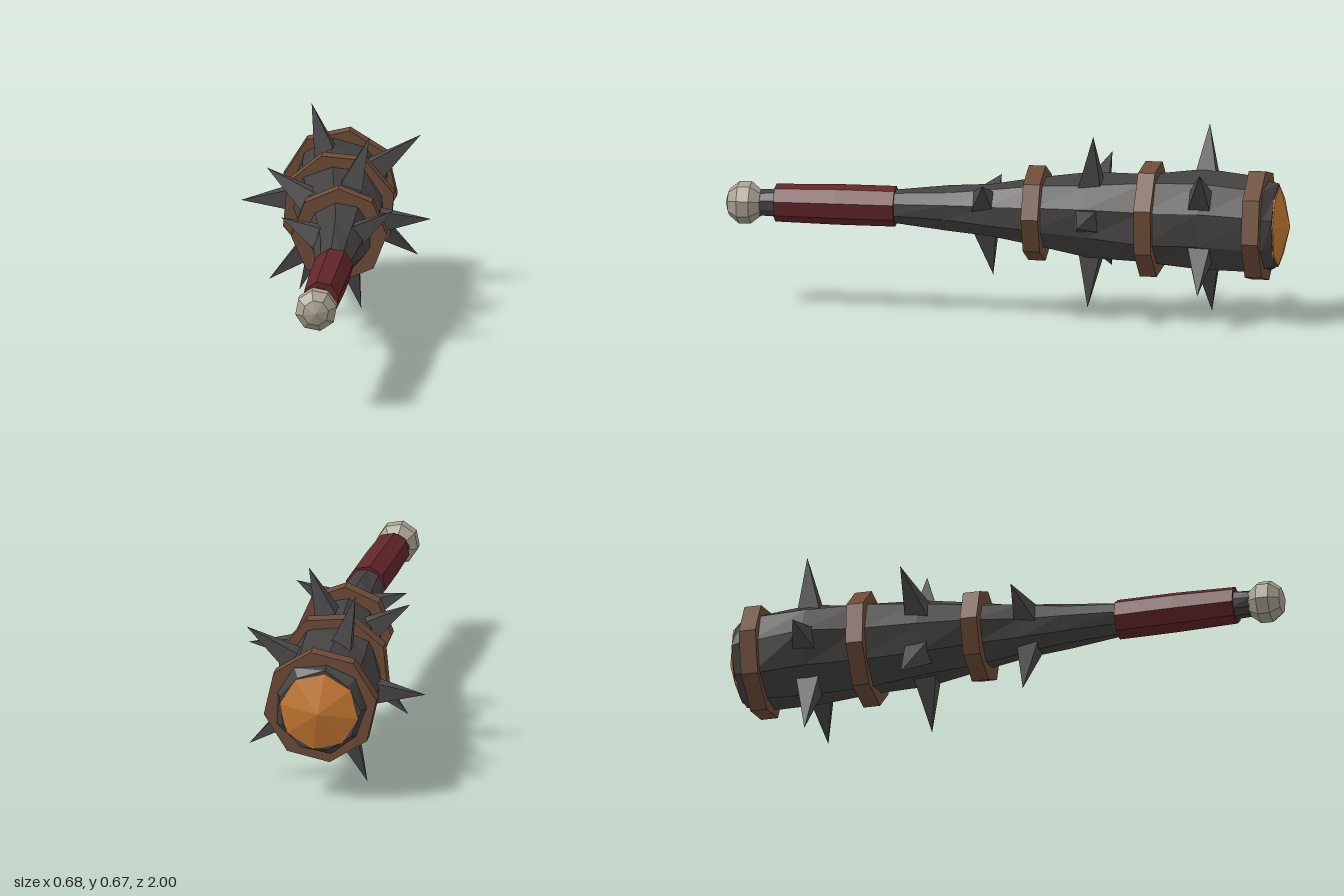
import * as THREE from 'three';

const mat = (name, color) => {
  const m = new THREE.MeshStandardMaterial({ color });
  m.name = name;
  return m;
};

// Faceted copy of a geometry: every face keeps its own normal
function faceted(geo) {
  const g = geo.index ? geo.toNonIndexed() : geo;
  g.computeVertexNormals();
  return g;
}

// Closed loft along z through rings [z, x, y, radius], listed front to back
function loft(rings, sides, turn = 0, wobble = 0) {
  const pos = [], idx = [];
  rings.forEach(([z, x, y, r], i) => {
    for (let j = 0; j < sides; j++) {
      const a = turn + (j / sides) * Math.PI * 2;
      const k = r * (1 + wobble * Math.sin(i * 2.3 + j * 3.7));
      pos.push(x + Math.cos(a) * k, y + Math.sin(a) * k, z);
    }
  });
  const n = rings.length, front = n * sides, back = front + 1;
  const [f, b] = [rings[0], rings[n - 1]];
  pos.push(f[1], f[2], f[0], b[1], b[2], b[0]);
  for (let j = 0; j < sides; j++) {
    const k = (j + 1) % sides;
    for (let i = 0; i < n - 1; i++) {
      const p = i * sides, q = p + sides;
      idx.push(p + j, q + j, q + k, p + j, q + k, p + k);
    }
    idx.push(front, j, k, back, (n - 1) * sides + k, (n - 1) * sides + j);
  }
  const g = new THREE.BufferGeometry();
  g.setAttribute('position', new THREE.Float32BufferAttribute(pos, 3));
  g.setIndex(idx);
  return faceted(g);
}

export function createModel() {
  const wood = mat('charred wood', 0x444241);
  const iron = mat('spike iron', 0x4b4949);
  const leather = mat('brown leather', 0x6e4c38);
  const wrap = mat('red wrap', 0x632629);
  const stone = mat('pale stone', 0xaaa492);
  const copper = mat('copper', 0xc87a32);

  const club = new THREE.Group();
  club.name = 'spikedClub';
  const add = (name, geo, material, parent = club) => {
    const m = new THREE.Mesh(geo, material);
    m.name = name;
    parent.add(m);
    return m;
  };

  // Slightly crooked shaft, swelling toward the head
  add('shaft', loft([
    [0.88, 0.0, 0.362, 0.045],
    [0.80, 0.005, 0.364, 0.05],
    [0.40, 0.033, 0.37, 0.06],
    [0.20, 0.036, 0.37, 0.078],
    [0.05, 0.036, 0.368, 0.096],
    [-0.11, 0.03, 0.365, 0.122],
    [-0.30, 0.018, 0.358, 0.148],
    [-0.50, 0.008, 0.35, 0.164],
    [-0.70, -0.006, 0.348, 0.176],
    [-0.89, -0.006, 0.338, 0.168],
    [-0.925, -0.008, 0.336, 0.162],
    [-0.958, -0.008, 0.334, 0.145],
  ], 9, 0.3, 0.045), wood);

  // Handle wrap and pommel
  add('grip', loft([
    [0.82, 0.01, 0.366, 0.066],
    [0.60, 0.022, 0.369, 0.071],
    [0.39, 0.034, 0.371, 0.071],
  ], 8, 0.2), wrap);
  const ball = new THREE.SphereGeometry(0.078, 8, 5);
  ball.scale(1, 0.89, 1).rotateX(Math.PI / 2).rotateZ(0.2);
  add('pommel', faceted(ball), stone).position.set(0.002, 0.362, 0.93);

  // Pointed end cap
  add('endCap', loft([
    [-0.955, -0.008, 0.334, 0.14],
    [-0.962, -0.008, 0.334, 0.14],
    [-1.0, -0.008, 0.335, 0.002],
  ], 8, 0.15), copper);

  // Bands: z, x, y, radius, turn
  [
    [-0.11, 0.03, 0.363, 0.168, 0.02],
    [-0.51, 0.008, 0.35, 0.203, 0.3],
    [-0.89, -0.006, 0.337, 0.202, -0.17],
  ].forEach(([z, x, y, r, turn]) =>
    add('band', loft([[z + 0.03, x, y, r], [z - 0.03, x, y, r]], 8, turn), leather));

  // Rows of four-sided spikes; each tip is [x, y, z]
  const rows = [
    { x: 0.034, y: 0.368, z: 0.07, inset: 0.07, r: 0.055,
      tips: [[-0.165, 0.46, 0.05], [0.226, 0.488, 0.05], [0.007, 0.135, 0.05]] },
    { x: 0.018, y: 0.358, z: -0.305, inset: 0.115, r: 0.06,
      tips: [[0.125, 0.657, -0.325], [0.34, 0.368, -0.305], [0.097, 0.045, -0.30],
        [-0.227, 0.138, -0.33], [-0.235, 0.54, -0.33]] },
    { x: -0.006, y: 0.345, z: -0.70, inset: 0.135, r: 0.061,
      tips: [[-0.097, 0.677, -0.70], [0.283, 0.56, -0.73], [0.275, 0.13, -0.72],
        [-0.14, 0.003, -0.70], [-0.343, 0.327, -0.69]] },
  ];
  const spikes = new THREE.Group();
  spikes.name = 'spikes';
  club.add(spikes);
  for (const row of rows) {
    for (const t of row.tips) {
      const tip = new THREE.Vector3(...t);
      const out = new THREE.Vector3(t[0] - row.x, t[1] - row.y, 0).normalize();
      const base = new THREE.Vector3(row.x, row.y, row.z).addScaledVector(out, row.inset);
      const up = tip.clone().sub(base), length = up.length();
      up.normalize();
      // Square base lined up with the shaft
      const side = new THREE.Vector3().crossVectors(up, new THREE.Vector3(0, 0, 1)).normalize();
      const along = new THREE.Vector3().crossVectors(side, up);
      const cone = new THREE.ConeGeometry(row.r, length, 4).rotateY(Math.PI / 4);
      cone.translate(0, length / 2, 0);
      const spike = add('spike', faceted(cone), iron, spikes);
      spike.quaternion.setFromRotationMatrix(new THREE.Matrix4().makeBasis(side, up, along));
      spike.position.copy(base);
    }
  }
  return club;
}
